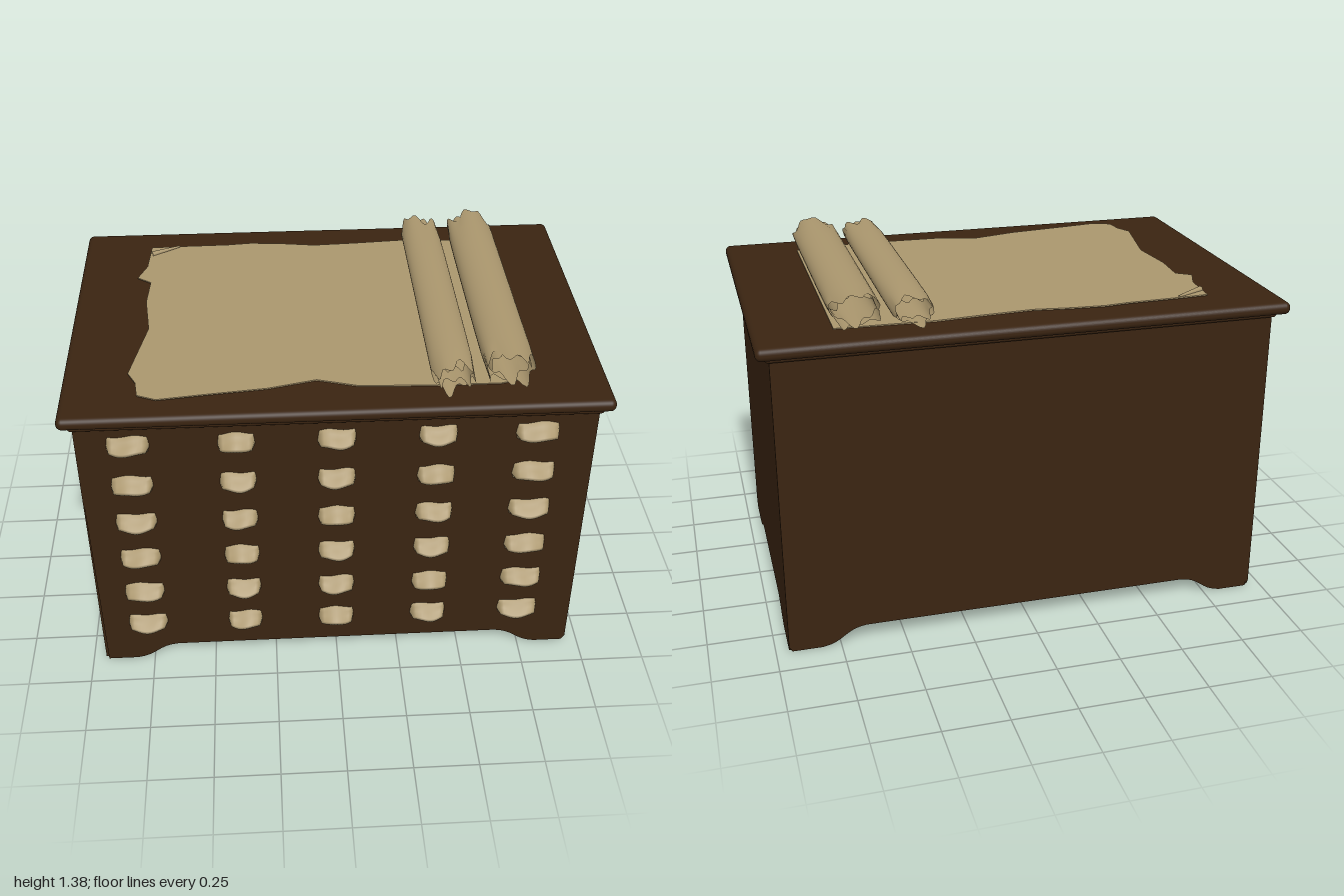
import * as THREE from 'three';
import { RoundedBoxGeometry } from 'three/addons/geometries/RoundedBoxGeometry.js';

const wood = new THREE.MeshStandardMaterial({ color: 0x3a2411 });
wood.name = 'darkWood';
const parchment = new THREE.MeshStandardMaterial({ color: 0xab976e, side: THREE.DoubleSide });
parchment.name = 'parchment';

const HALF_W = 0.95, HALF_D = 0.63, WALL = 0.07, BODY_TOP = 1.22;

function add(parent, name, geometry, material) {
  const mesh = new THREE.Mesh(geometry, material);
  mesh.name = name;
  parent.add(mesh);
  return mesh;
}

// Panel with two feet and a raised, curved apron between them
function panelGeometry(half, footInner, archOuter, archY) {
  const s = new THREE.Shape();
  const mid = (footInner + archOuter) / 2;
  s.moveTo(-half + 0.012, 0.008);
  s.lineTo(-footInner, 0.008);
  s.bezierCurveTo(-mid, 0.02, -mid, archY - 0.008, -archOuter, archY);
  s.lineTo(archOuter, archY);
  s.bezierCurveTo(mid, archY - 0.008, mid, 0.02, footInner, 0.008);
  s.lineTo(half - 0.012, 0.008);
  s.lineTo(half, 0.03);
  s.lineTo(half, BODY_TOP);
  s.lineTo(-half, BODY_TOP);
  s.closePath();
  return new THREE.ExtrudeGeometry(s, { depth: WALL, bevelEnabled: false, curveSegments: 8 });
}

// Lumpy cup pull: a grid bent through a small side profile of [y, z]
function pullGeometry(width, seed) {
  const profile = [[0.038, -0.01], [0.034, 0.008], [0.022, 0.016], [0.008, 0.03], [-0.004, 0.055],
    [-0.016, 0.057], [-0.016, 0.03], [-0.024, 0.014], [-0.036, 0.008], [-0.038, -0.01]];
  const cols = 12;
  const g = new THREE.PlaneGeometry(1, 1, cols, profile.length - 1);
  const p = g.attributes.position;
  for (let i = 0; i < p.count; i++) {
    const u = p.getX(i) * 2;
    const [y, z] = profile[Math.floor(i / (cols + 1))];
    const wave = 0.004 * Math.sin(u * 4 + seed * 1.7);
    const swell = 0.55 + 0.45 * Math.cos(u * Math.PI / 2);
    const depth = Math.abs(u) > 0.99 ? -0.01 : z > 0 ? z * swell : z;
    p.setXYZ(i, u * width / 2, y * (1 - 0.1 * u * u) + wave, depth);
  }
  g.computeVertexNormals();
  return g;
}

// Open paper roll along z with torn ends
function rollGeometry(rx, ry, zBack, zFront, seed) {
  const around = 40, rows = 8;
  const g = new THREE.CylinderGeometry(1, 1, 1, around, rows, true);
  g.rotateX(Math.PI / 2);
  const p = g.attributes.position;
  for (let i = 0; i < p.count; i++) {
    const x = p.getX(i), y = p.getY(i), t = p.getZ(i) + 0.5;
    const a = Math.atan2(y, x);
    const torn = 0.03 * Math.sin(a * 3 + seed) + 0.025 * Math.sin(a * 7 + seed * 2);
    const end = Math.pow(Math.abs(t * 2 - 1), 8);
    const dent = 1 - end * (0.06 + 0.06 * Math.sin(a * 5 + seed));
    const z = THREE.MathUtils.lerp(zBack, zFront, t) + (torn - 0.03) * end * Math.sign(t - 0.5);
    p.setXYZ(i, x * rx * dent, y * ry * dent, z);
  }
  g.computeVertexNormals();
  return g;
}

export function createModel() {
  const model = new THREE.Group();
  model.name = 'mapChest';

  // Cabinet walls
  const body = new THREE.Group();
  body.name = 'cabinet';
  model.add(body);
  const long = panelGeometry(HALF_W, 0.82, 0.65, 0.08);
  const short = panelGeometry(HALF_D, 0.45, 0.28, 0.065);
  add(body, 'frontPanel', long, wood).position.z = HALF_D - WALL;
  add(body, 'backPanel', long, wood).position.z = -HALF_D;
  for (const [name, x] of [['leftPanel', HALF_W - WALL], ['rightPanel', -HALF_W]]) {
    const side = add(body, name, short, wood);
    side.rotation.y = Math.PI / 2;
    side.position.x = x;
  }

  // Recessed floor
  const floor = new THREE.BoxGeometry(2 * HALF_W - 0.02, 0.03, 2 * HALF_D - 0.02);
  add(body, 'floor', floor, wood).position.y = 0.12;

  // Table top with rounded edges and a small moulding beneath
  const top = add(model, 'tableTop', new RoundedBoxGeometry(2, 0.048, 1.36, 4, 0.022), wood);
  top.position.set(0, 1.231, -0.01);
  const moulding = new RoundedBoxGeometry(1.93, 0.03, 1.29, 2, 0.012);
  add(model, 'topMoulding', moulding, wood).position.y = 1.2;

  // Drawer pulls, six rows of five
  const pulls = new THREE.Group();
  pulls.name = 'drawerPulls';
  model.add(pulls);
  const columns = [[-0.76, 0.16], [-0.37, 0.14], [-0.005, 0.145], [0.365, 0.145], [0.73, 0.165]];
  const rowHeights = [1.115, 0.932, 0.75, 0.572, 0.392, 0.218];
  rowHeights.forEach((y, r) => columns.forEach(([x, width], c) => {
    add(pulls, 'drawerPull', pullGeometry(width, r * 5 + c), parchment).position.set(x, y, HALF_D);
  }));

  // Spread sheet with an uneven outline, lifting slightly at its left edge
  const outline = [[-0.72, -0.54], [-0.62, -0.545], [-0.4, -0.55], [-0.3, -0.56], [-0.17, -0.55],
    [-0.03, -0.53], [0.15, -0.54], [0.34, -0.555], [0.71, -0.54], [0.71, 0.5], [0.6, 0.53],
    [0.34, 0.53], [0.08, 0.52], [-0.07, 0.475], [-0.25, 0.52], [-0.5, 0.55], [-0.65, 0.57],
    [-0.72, 0.54], [-0.73, 0.46], [-0.76, 0.4], [-0.73, 0.25], [-0.7, 0.1], [-0.72, -0.1],
    [-0.71, -0.25], [-0.765, -0.29], [-0.73, -0.38]];
  const sheetShape = new THREE.Shape(outline.map(([x, z]) => new THREE.Vector2(x, z)));
  const sheet = new THREE.ExtrudeGeometry(sheetShape, { depth: 0.005, bevelEnabled: false });
  sheet.rotateX(Math.PI / 2);
  const sp = sheet.attributes.position;
  for (let i = 0; i < sp.count; i++) sp.setY(i, sp.getY(i) + 1.262 - 0.005 * sp.getX(i));
  sheet.computeVertexNormals();
  add(model, 'parchmentSheet', sheet, parchment);

  // Curled corner at the back of the sheet
  const curl = new THREE.CylinderGeometry(0.012, 0.004, 0.13, 10, 1, true);
  curl.rotateZ(Math.PI / 2);
  const curlMesh = add(model, 'curledCorner', curl, parchment);
  curlMesh.position.set(-0.66, 1.268, -0.51);
  curlMesh.rotation.y = 0.5;

  // Two rolled ends, each with an inner wall
  const rolls = [['innerRoll', 0.423, 1.309, 0.08, 0.051, -0.6, 0.59, 1],
    ['outerRoll', 0.63, 1.322, 0.093, 0.062, -0.59, 0.56, 4]];
  for (const [name, x, y, rx, ry, back, front, seed] of rolls) {
    const roll = new THREE.Group();
    roll.name = name;
    roll.position.set(x, y, 0);
    add(roll, 'rollOuterWrap', rollGeometry(rx, ry, back, front, seed), parchment);
    add(roll, 'rollInnerWrap', rollGeometry(rx - 0.009, ry - 0.009, back + 0.02, front - 0.02, seed + 2), parchment);
    model.add(roll);
  }

  return model;
}
